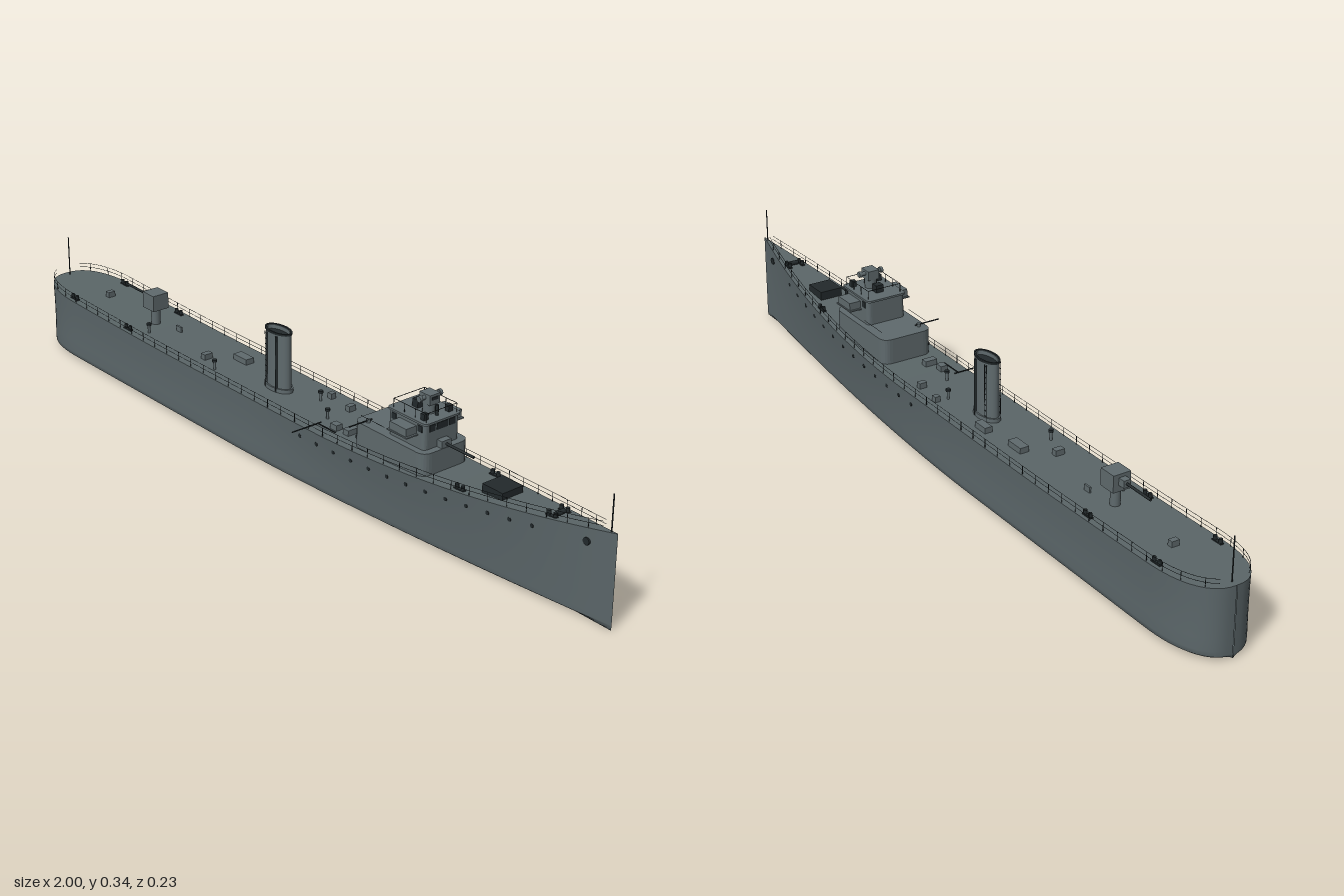
import * as THREE from 'three';

const mat = (name, color, side = THREE.FrontSide) => {
  const m = new THREE.MeshStandardMaterial({ color, side });
  m.name = name;
  return m;
};

// Deck height and half-widths along the ship (bow at +x)
const sheer = x => 0.162 + (x > 0.1 ? 0.066 * ((x - 0.1) / 0.9) ** 2 : 0)
  + (x < -0.4 ? 0.013 * ((-0.4 - x) / 0.6) ** 1.5 : 0);
const taper = (x, start, power) => {
  const bow = x > start ? 1 - ((x - start) / (1 - start)) ** power : 1;
  const s = Math.min(1, Math.max(0, (-0.82 - x) / 0.18));
  return 0.093 * Math.max(0.008, bow * (1 - s ** 2.4) ** (1 / 2.4));
};
const deckHalf = x => taper(x, 0.1, 2.1);
const keelHalf = x => taper(x, -0.15, 1.7);
// Half-width of the side at height y
const sideHalf = (x, y) => {
  const t = Math.min(1, Math.max(0, (y - 0.025) / (sheer(x) - 0.025)));
  return THREE.MathUtils.lerp(keelHalf(x), deckHalf(x), t) - 0.002 * Math.sin(Math.PI * t) * deckHalf(x) / 0.093;
};

const stations = [];
for (let i = 0; i <= 14; i++) stations.push(-0.82 - 0.18 * Math.cos(i / 14 * Math.PI / 2));
for (let i = 1; i <= 50; i++) stations.push(-0.82 + 1.82 * i / 50);

const strip = (rows, flip) => {
  const n = rows[0].length, idx = [];
  for (let i = 0; i < rows.length - 1; i++) {
    for (let j = 0; j < n - 1; j++) {
      const a = i * n + j, b = a + 1, c = a + n, d = c + 1;
      if (flip) idx.push(a, c, b, b, c, d);
      else idx.push(a, b, c, b, d, c);
    }
  }
  const g = new THREE.BufferGeometry();
  g.setAttribute('position', new THREE.Float32BufferAttribute(rows.flat(2), 3));
  g.setIndex(idx);
  g.computeVertexNormals();
  return g;
};

export function createModel() {
  const grey = mat('hull grey', 0x5b6669, THREE.DoubleSide);
  const deckGrey = mat('deck grey', 0x5b6668, THREE.DoubleSide);
  const house = mat('superstructure grey', 0x5f6a6d);
  const dark = mat('dark fittings', 0x22292b);

  const ship = new THREE.Group();
  ship.name = 'warship';
  ship.position.z = -0.0195;

  const add = (name, geo, m, x = 0, y = 0, z = 0) => {
    const mesh = new THREE.Mesh(geo, m);
    mesh.name = name;
    mesh.position.set(x, y, z);
    ship.add(mesh);
    return mesh;
  };
  const box = (name, m, x, y, z, w, h, d) => add(name, new THREE.BoxGeometry(w, h, d), m, x, y, z);
  const rod = (name, m, from, to, r, sides = 6) => {
    const a = new THREE.Vector3(...from), b = new THREE.Vector3(...to);
    const mesh = add(name, new THREE.CylinderGeometry(r, r, a.distanceTo(b), sides), m);
    mesh.position.copy(a).lerp(b, 0.5);
    mesh.quaternion.setFromUnitVectors(new THREE.Vector3(0, 1, 0), b.clone().sub(a).normalize());
    return mesh;
  };
  // Upright block with rounded plan corners
  const block = (name, m, x0, x1, y0, y1, half, r) => {
    const s = new THREE.Shape();
    s.moveTo(x0 + r, -half).lineTo(x1 - r, -half).quadraticCurveTo(x1, -half, x1, -half + r);
    s.lineTo(x1, half - r).quadraticCurveTo(x1, half, x1 - r, half);
    s.lineTo(x0 + r, half).quadraticCurveTo(x0, half, x0, half - r);
    s.lineTo(x0, -half + r).quadraticCurveTo(x0, -half, x0 + r, -half);
    const g = new THREE.ExtrudeGeometry(s, { depth: y1 - y0, bevelEnabled: false, curveSegments: 6 });
    return add(name, g.rotateX(-Math.PI / 2), m, 0, y0, 0);
  };

  // Hull and deck
  add('hull', strip(stations.map(x => {
    const k = keelHalf(x), side = [];
    for (const t of [1, 0.8, 0.6, 0.4, 0.2, 0]) {
      const y = 0.025 + t * (sheer(x) - 0.025);
      side.push([x, y, sideHalf(x, y)]);
    }
    side.push([x, 0.014, k * 0.985], [x, 0.011, k * 0.93], [x, 0.007, k * 0.45]);
    return [...side, [x, 0.002, 0], ...side.map(([a, b, c]) => [a, b, -c]).reverse()];
  })), grey);
  add('deck', strip(stations.map(x => [[x, sheer(x), deckHalf(x)], [x, sheer(x), -deckHalf(x)]]), true), deckGrey);

  for (const s of [1, -1]) {
    // Railings following the deck edge
    const edge = stations.filter(x => x > -0.995 && x < 0.985);
    for (const h of [0.011, 0.021]) {
      const pts = edge.map(x => new THREE.Vector3(x, sheer(x) + h, s * Math.max(0.002, deckHalf(x) - 0.003)));
      add('railing', new THREE.TubeGeometry(new THREE.CatmullRomCurve3(pts), 120, 0.0006, 4), dark);
    }
    for (let x = -0.97; x < 0.98; x += 0.05) {
      const z = s * (deckHalf(x) - 0.003);
      rod('railing post', dark, [x, sheer(x), z], [x, sheer(x) + 0.021, z], 0.0009, 4);
    }
    // Portholes and anchor pipes
    for (let x = 0.1; x < 0.83; x += 0.058) {
      const y = sheer(x) - 0.028;
      rod('porthole', dark, [x, y, s * (sideHalf(x, y) - 0.004)], [x, y, s * (sideHalf(x, y) + 0.001)], 0.005, 10);
    }
    const az = sideHalf(0.93, 0.187);
    rod('anchor pipe', dark, [0.93, 0.187, s * (az - 0.006)], [0.93, 0.187, s * (az + 0.003)], 0.009, 12);
    // Twin mooring bollards
    for (const x of [-0.84, -0.6, 0.595, 0.835]) {
      const z = s * (deckHalf(x) - 0.014), y = sheer(x);
      box('bollard base', dark, x, y + 0.001, z, 0.03, 0.003, 0.009);
      for (const dx of [-0.009, 0.009]) rod('bollard', dark, [x + dx, y, z], [x + dx, y + 0.012, z], 0.0045, 8);
    }
  }

  // Flagstaffs
  rod('stern flagstaff', dark, [-0.983, 0.17, 0], [-0.983, 0.28, 0], 0.0016);
  rod('bow flagstaff', dark, [0.983, 0.22, 0], [0.983, 0.312, 0], 0.0016);

  // Deckhouse and bridge
  block('deckhouse', house, 0.26, 0.495, 0.155, 0.228, 0.068, 0.025);
  block('bridge', house, 0.36, 0.478, 0.228, 0.292, 0.052, 0.012);
  block('bridge roof', house, 0.356, 0.483, 0.288, 0.293, 0.054, 0.012);
  box('bridge wings', house, 0.425, 0.27, 0, 0.055, 0.02, 0.164);
  box('wing platform', house, 0.425, 0.26, 0, 0.065, 0.003, 0.17);
  for (const z of [-0.029, 0, 0.029]) box('front window', dark, 0.478, 0.277, z, 0.003, 0.016, z ? 0.017 : 0.032);
  for (const s of [1, -1]) {
    for (const x of [0.38, 0.464]) box('side window', dark, x, 0.277, s * 0.052, 0.014, 0.015, 0.003);
    rod('bridge top rail', dark, [0.37, 0.314, s * 0.045], [0.475, 0.314, s * 0.045], 0.0009, 4);
    for (const x of [0.37, 0.405, 0.44, 0.475]) rod('bridge rail post', dark, [x, 0.292, s * 0.045], [x, 0.314, s * 0.045], 0.0009, 4);
    box('signal lamp', dark, 0.46, 0.3, s * 0.036, 0.012, 0.016, 0.013);
    rod('deckhouse rail', dark, [0.28, 0.244, s * 0.062], [0.36, 0.244, s * 0.062], 0.0007, 4);
  }
  for (const x of [0.37, 0.475]) rod('bridge end rail', dark, [x, 0.314, -0.045], [x, 0.314, 0.045], 0.0009, 4);

  // Rangefinder
  rod('rangefinder pedestal', house, [0.435, 0.292, 0], [0.435, 0.322, 0], 0.015, 16);
  box('rangefinder housing', house, 0.436, 0.328, 0, 0.034, 0.024, 0.03);
  rod('rangefinder tube', house, [0.436, 0.331, -0.033], [0.436, 0.331, 0.033], 0.005, 12);
  for (const s of [1, -1]) rod('rangefinder lens', house, [0.436, 0.331, s * 0.026], [0.436, 0.331, s * 0.033], 0.0075, 12);
  box('rangefinder slit', dark, 0.453, 0.331, 0, 0.003, 0.007, 0.018);
  rod('short mast', dark, [0.46, 0.29, 0], [0.46, 0.318, 0], 0.004, 8);
  box('instrument stand', dark, 0.4, 0.302, 0, 0.018, 0.02, 0.02);

  // Forward gun
  box('forward gun mount', house, 0.483, 0.235, 0, 0.022, 0.02, 0.028);
  rod('forward gun barrel', dark, [0.48, 0.236, 0], [0.58, 0.236, 0], 0.0032, 8);

  // Aft gun
  rod('aft gun pedestal', house, [-0.59, 0.16, 0], [-0.59, 0.206, 0], 0.012, 14);
  box('aft gun shield', house, -0.589, 0.228, 0, 0.046, 0.042, 0.046);
  box('aft gun breech', house, -0.62, 0.232, 0, 0.02, 0.018, 0.018);
  rod('aft gun barrel', dark, [-0.61, 0.232, 0], [-0.712, 0.232, 0], 0.0032, 8);

  // Funnel with rim bands and pipes
  const oval = (rx, rz, h, hole) => {
    const s = new THREE.Shape().absellipse(0, 0, rx, rz, 0, Math.PI * 2, false);
    if (hole) s.holes.push(new THREE.Path().absellipse(0, 0, rx - 0.004, rz - 0.004, 0, Math.PI * 2, true));
    return new THREE.ExtrudeGeometry(s, { depth: h, bevelEnabled: false, curveSegments: 32 }).rotateX(-Math.PI / 2);
  };
  add('funnel', oval(0.041, 0.021, 0.16, true), house, -0.09, 0.152, 0);
  add('funnel mouth', oval(0.037, 0.017, 0.01), dark, -0.09, 0.292, 0);
  add('funnel rim', oval(0.043, 0.023, 0.005, true), dark, -0.09, 0.309, 0);
  add('funnel base', oval(0.045, 0.025, 0.012), house, -0.09, 0.16, 0);
  for (const s of [1, -1]) {
    rod('steam pipe', dark, [-0.073, 0.16, s * 0.021], [-0.073, 0.305, s * 0.021], 0.003, 8);
    for (const x of [-0.117, -0.109]) rod('ladder rail', dark, [x, 0.16, s * 0.0195], [x, 0.305, s * 0.0195], 0.0009, 4);
    for (let y = 0.175; y < 0.305; y += 0.014) rod('ladder rung', dark, [-0.117, y, s * 0.0195], [-0.109, y, s * 0.0195], 0.0009, 4);
  }

  // Hatches and lockers: x, z, length, width
  const lockers = [[-0.265, -0.03, 0.05, 0.024], [-0.145, -0.045, 0.042, 0.02], [-0.335, 0.03, 0.016, 0.024],
    [0.035, -0.06, 0.014, 0.014], [0.115, -0.05, 0.014, 0.02], [0.17, 0.04, 0.022, 0.018],
    [0.21, 0.03, 0.018, 0.032], [-0.8, -0.005, 0.014, 0.02], [-0.51, -0.015, 0.02, 0.005]];
  for (const [x, z, w, d] of lockers) box('deck locker', house, x, sheer(x) + 0.006, z, w, 0.016, d);
  box('fore hatch', dark, 0.67, sheer(0.67) + 0.008, 0, 0.062, 0.022, 0.06);
  rod('windlass', dark, [0.84, 0.211, -0.012], [0.84, 0.211, 0.012], 0.006, 10);

  // Ventilators
  for (const [x, z] of [[-0.55, 0.05], [-0.27, 0.055], [0.03, -0.03], [0.27, 0.06], [0.115, 0.02]]) {
    rod('vent pipe', house, [x, sheer(x), z], [x, sheer(x) + 0.024, z], 0.0035, 8);
    rod('vent cap', dark, [x, sheer(x) + 0.02, z], [x, sheer(x) + 0.026, z], 0.006, 10);
  }

  // Side booms and light guns
  rod('side boom', dark, [0.128, 0.167, 0.05], [0.128, 0.167, 0.136], 0.0017);
  rod('boom brace', dark, [0.128, 0.167, 0.06], [0.19, 0.167, 0.06], 0.0015);
  rod('light gun post', house, [0.292, 0.225, 0.05], [0.292, 0.236, 0.05], 0.005, 8);
  rod('light gun barrel', dark, [0.292, 0.233, 0.04], [0.292, 0.233, 0.107], 0.0018);

  return ship;
}
